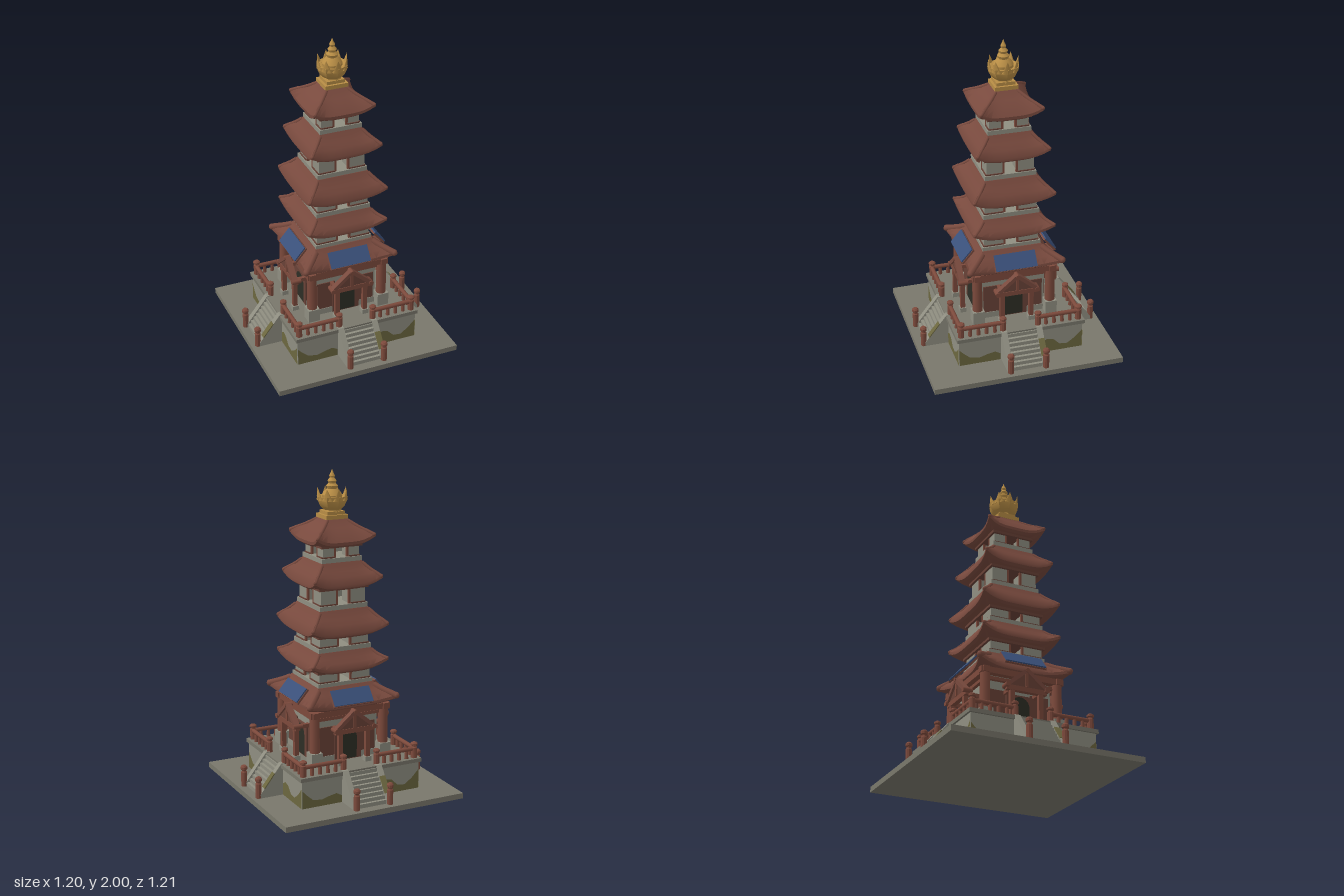
import * as THREE from 'three';
import { toCreasedNormals } from 'three/addons/utils/BufferGeometryUtils.js';

const mat = (name, color, side = THREE.FrontSide) => {
  const m = new THREE.MeshStandardMaterial({ color, side });
  m.name = name;
  return m;
};
const M = {
  roof: mat('roof red', 0x794a3e),
  wood: mat('wood red', 0x7d4a3c),
  darkWood: mat('dark wood', 0x694237),
  stone: mat('pale stone', 0x8f8e81),
  paving: mat('paving', 0x79776b),
  moss: mat('moss', 0x6c673f, THREE.DoubleSide),
  dark: mat('doorway dark', 0x2d2e25),
  gold: mat('gold', 0xb88d45),
  blue: mat('blue panel', 0x3a507a),
};

function add(parent, name, geo, material, x = 0, y = 0, z = 0) {
  const m = new THREE.Mesh(geo, material);
  m.name = name;
  m.position.set(x, y, z);
  parent.add(m);
  return m;
}
// box given by width, bottom, top, depth
const box = (p, name, m, w, y0, y1, d, x = 0, z = 0) =>
  add(p, name, new THREE.BoxGeometry(w, y1 - y0, d), m, x, (y0 + y1) / 2, z);
const lathe = (pts, sides) =>
  toCreasedNormals(new THREE.LatheGeometry(pts.map(a => new THREE.Vector2(...a)), sides), 0.6);
// round post with a rounded cap ring
function post(p, name, x, z, y0, y1, r) {
  const h = y1 - y0;
  return add(p, name, lathe([[0, 0], [r, 0], [r, h * 0.68], [r * 0.75, h * 0.72], [r * 0.75, h * 0.77],
    [r * 1.12, h * 0.82], [r * 1.12, h * 0.93], [r * 0.7, h], [0, h]], 10), M.wood, x, y0, z);
}
// repeat one side's group around the four faces
function fourSides(parent, name, build) {
  const side = new THREE.Group();
  build(side);
  for (let k = 0; k < 4; k++) {
    const g = side.clone();
    g.name = name + (k + 1);
    g.rotation.y = k * Math.PI / 2;
    parent.add(g);
  }
}

// square roof from rings [half width, height, corner lift, corner flare]
function roofGeometry(rings) {
  const N = 12, pos = [], idx = [];
  for (let k = 0; k < 4; k++) {
    const base = pos.length / 3, c = Math.round(Math.cos(k * Math.PI / 2)), s = Math.round(Math.sin(k * Math.PI / 2));
    rings.forEach(([h, y, lift, flare]) => {
      for (let i = 0; i <= N; i++) {
        const t = i / N * 2 - 1, q = Math.abs(t) ** 4, r = h + flare * q;
        const x = r * t, z = r;
        pos.push(x * c + z * s, y + lift * q, -x * s + z * c);
      }
    });
    for (let j = 0; j < rings.length - 1; j++) for (let i = 0; i < N; i++) {
      const a = base + j * (N + 1) + i, d = a + N + 1;
      idx.push(a, a + 1, d + 1, a, d + 1, d);
    }
  }
  const g = new THREE.BufferGeometry();
  g.setAttribute('position', new THREE.Float32BufferAttribute(pos, 3));
  g.setIndex(idx);
  return toCreasedNormals(g, 0.6);
}
function roof(p, name, y0, y1, eave, top, lift, flare, hipRadius) {
  const h = y1 - y0, at = (u, v) => [top + (eave - top) * u, y0 + h * v];
  add(p, name, roofGeometry([
    [0, y0 + 0.012, 0, 0], [eave * 0.78, y0 + 0.008, 0, 0],
    [eave - 0.016, y0, lift, flare], [eave, y0 + 0.012, lift, flare], [eave, y0 + 0.03, lift, flare],
    [...at(0.72, 0.48), lift * 0.5, flare * 0.6], [...at(0.4, 0.68), lift * 0.15, flare * 0.2],
    [...at(0.15, 0.87), 0, 0], [top, y1, 0, 0], [0, y1, 0, 0],
  ]), M.roof);
  // hip ridges along the diagonals
  fourSides(p, name + 'Hip', g => {
    const e = eave + flare - hipRadius * 0.6, m = top + (eave - top) * 0.4 + flare * 0.2, y = y0 + 0.022 + lift;
    const path = new THREE.CatmullRomCurve3([new THREE.Vector3(top, y1 - hipRadius, top),
      new THREE.Vector3(m, y0 + h * 0.67 + lift * 0.15 - hipRadius * 0.3, m), new THREE.Vector3(e, y, e)]);
    add(g, 'hipRidge', new THREE.TubeGeometry(path, 8, hipRadius, 8), M.roof);
    add(g, 'hipTip', new THREE.SphereGeometry(hipRadius, 8, 6), M.roof, e, y, e);
  });
}

function terrace(root) {
  box(root, 'basePlate', M.paving, 1.2, 0, 0.035, 1.21);
  box(root, 'terraceBody', M.stone, 0.8, 0.035, 0.21, 0.8);
  box(root, 'terraceLip', M.paving, 0.825, 0.208, 0.232, 0.825);
  const cheek = new THREE.Shape([[0.38, 0.035], [0.56, 0.035], [0.55, 0.06], [0.412, 0.237], [0.38, 0.237]].map(a => new THREE.Vector2(...a)));
  const cheekGeo = new THREE.ExtrudeGeometry(cheek, { depth: 0.036, bevelEnabled: false }).rotateY(-Math.PI / 2);
  fourSides(root, 'terraceSide', g => {
    // moss patches on the wall
    const patch = pts => add(g, 'mossPatch', new THREE.ShapeGeometry(
      new THREE.Shape(pts.map(a => new THREE.Vector2(...a)))), M.moss, 0, 0, 0.403);
    patch([[-0.398, 0.036], [-0.398, 0.15], [-0.37, 0.12], [-0.33, 0.085], [-0.27, 0.075], [-0.22, 0.09], [-0.17, 0.1], [-0.135, 0.08], [-0.135, 0.036]]);
    patch([[0.135, 0.036], [0.135, 0.11], [0.17, 0.13], [0.21, 0.12], [0.25, 0.08], [0.3, 0.075], [0.35, 0.11], [0.398, 0.16], [0.398, 0.036]]);
    // stairs
    for (let i = 0; i < 8; i++) {
      const d = 0.165 - i * 0.018;
      box(g, 'step', M.stone, 0.2, 0.035, 0.06 + i * 0.023, d, 0, 0.38 + d / 2);
    }
    for (const s of [-1, 1]) {
      add(g, 'stairCheek', cheekGeo, M.stone, s * 0.113 + 0.018, 0, 0);
      post(g, 'stairFootPost', s * 0.113, 0.557, 0.035, 0.17, 0.019);
      post(g, 'stairTopPost', s * 0.113, 0.38, 0.232, 0.33, 0.019);
      // railing
      add(g, 'rail', new THREE.CylinderGeometry(0.014, 0.014, 0.262, 8).rotateZ(Math.PI / 2), M.wood, s * 0.244, 0.29, 0.38);
      for (let i = 1; i < 5; i++)
        add(g, 'baluster', new THREE.CylinderGeometry(0.011, 0.013, 0.055, 8), M.wood, s * (0.113 + i * 0.0525), 0.258, 0.38);
    }
    const cheekMoss = add(g, 'cheekMoss', new THREE.BoxGeometry(0.037, 0.006, 0.11), M.moss, 0.113, 0.137, 0.49);
    cheekMoss.rotation.x = 0.91;
    post(g, 'cornerPost', 0.377, 0.38, 0.232, 0.332, 0.02);
  });
}

function groundStorey(root) {
  box(root, 'groundWall', M.stone, 0.41, 0.23, 0.58, 0.41);
  // thin gable front of the porch
  const gable = new THREE.Shape([[-0.11, 0.46], [0.11, 0.46], [0, 0.55]].map(a => new THREE.Vector2(...a)));
  const door = new THREE.Shape();
  door.moveTo(-0.06, 0.237).lineTo(0.06, 0.237).lineTo(0.06, 0.38);
  door.absarc(0, 0.37, 0.06, 0, Math.PI, false);
  fourSides(root, 'groundSide', g => {
    box(g, 'wallBase', M.stone, 0.43, 0.232, 0.27, 0.01, 0, 0.21);
    box(g, 'topBeam', M.wood, 0.54, 0.535, 0.572, 0.04, 0, 0.24);
    box(g, 'lowerBeam', M.wood, 0.46, 0.505, 0.525, 0.022, 0, 0.225);
    for (const s of [-1, 1]) box(g, 'wallPanel', M.darkWood, 0.12, 0.27, 0.455, 0.009, s * 0.13, 0.207);
    add(g, 'column', new THREE.CylinderGeometry(0.03, 0.032, 0.25, 10), M.wood, 0.235, 0.43, 0.235);
    box(g, 'columnFoot', M.stone, 0.074, 0.23, 0.315, 0.074, 0.235, 0.235);
    // doorway
    add(g, 'doorway', new THREE.ShapeGeometry(door, 10), M.dark, 0, 0, 0.222);
    box(g, 'doorSurround', M.darkWood, 0.18, 0.232, 0.44, 0.016, 0, 0.212);
    // porch frame
    for (const s of [-1, 1]) {
      box(g, 'porchPost', M.wood, 0.028, 0.232, 0.43, 0.028, s * 0.093, 0.295);
      box(g, 'porchPostFoot', M.stone, 0.042, 0.232, 0.262, 0.042, s * 0.093, 0.295);
      const slab = add(g, 'porchRoof', new THREE.BoxGeometry(0.172, 0.024, 0.036), M.roof, s * 0.066, 0.51, 0.304);
      slab.rotation.z = -s * 0.7;
      box(g, 'porchSideBeam', M.wood, 0.022, 0.432, 0.456, 0.09, s * 0.093, 0.25);
      add(g, 'eaveEnd', new THREE.CylinderGeometry(0.016, 0.016, 0.06, 8).rotateX(Math.PI / 2), M.wood, s * 0.127, 0.457, 0.298);
    }
    box(g, 'porchBeam', M.wood, 0.26, 0.43, 0.46, 0.03, 0, 0.297);
    add(g, 'gable', new THREE.ExtrudeGeometry(gable, { depth: 0.018, bevelEnabled: false }), M.darkWood, 0, 0, 0.29);
    box(g, 'gableStrut', M.wood, 0.016, 0.46, 0.55, 0.01, 0, 0.311);
    add(g, 'ridgeCap', new THREE.CylinderGeometry(0.014, 0.014, 0.05, 8).rotateX(Math.PI / 2), M.wood, 0, 0.564, 0.302);
    // blue slope panel
    const panel = add(g, 'bluePanel', new THREE.BoxGeometry(0.262, 0.104, 0.009), M.blue, 0, 0.651, 0.271);
    panel.rotation.x = -0.71;
    const backing = add(g, 'panelFrame', new THREE.BoxGeometry(0.272, 0.11, 0.012), M.roof, 0, 0.644, 0.264);
    backing.rotation.x = -0.71;
  });
  roof(root, 'groundRoof', 0.565, 0.7, 0.267, 0.19, 0.035, 0.04, 0.021);
}

// open storey: stone ledge, four corner piers and door posts
function storey(root, name, y0, y1, w) {
  const ledge = y0 + 0.028, gap = 0.046, size = w - gap, c = gap + size / 2;
  box(root, name + 'Ledge', M.stone, 2 * w + 0.026, y0 - 0.005, ledge, 2 * w + 0.026);
  box(root, name + 'Ceiling', M.darkWood, 2 * w + 0.03, y1 - 0.008, y1 + 0.015, 2 * w + 0.03);
  fourSides(root, name + 'Side', g => {
    box(g, 'cornerPier', M.stone, size, ledge, y1, size, c, c);
    for (const s of [-1, 1]) {
      box(g, 'doorPost', M.wood, 0.013, ledge, y1, 0.014, s * (gap - 0.004), w - 0.006);
      box(g, 'pierFoot', M.darkWood, size, ledge, ledge + 0.008, 0.008, s * c, w + 0.002);
    }
  });
}

function finial(root) {
  const g = new THREE.Group();
  g.name = 'finial';
  box(g, 'finialBase', M.gold, 0.145, 1.705, 1.73, 0.145);
  box(g, 'finialStep', M.gold, 0.115, 1.73, 1.75, 0.115);
  add(g, 'lotusBowl', lathe([[0, 1.745], [0.06, 1.745], [0.055, 1.757], [0.078, 1.778], [0.093, 1.81],
    [0.098, 1.838], [0.082, 1.838], [0.05, 1.825], [0, 1.825]], 8), M.gold);
  add(g, 'spire', lathe([[0.06, 1.82], [0.062, 1.845], [0.048, 1.868], [0.03, 1.882], [0.037, 1.9], [0.022, 1.915],
    [0.028, 1.93], [0.014, 1.948], [0.018, 1.96], [0.008, 1.98], [0, 2]], 12), M.gold);
  for (let i = 0; i < 8; i++) {
    const petal = new THREE.Group();
    petal.name = 'petal' + (i + 1);
    petal.rotation.y = i * Math.PI / 4;
    const leaf = add(petal, 'petalLeaf', new THREE.ConeGeometry(0.034, 0.075, 8).scale(1, 1, 0.3), M.gold, 0, 1.852, 0.088);
    leaf.rotation.x = 0.15;
    g.add(petal);
  }
  root.add(g);
}

export function createModel() {
  const root = new THREE.Group();
  root.name = 'pagoda';
  terrace(root);
  groundStorey(root);
  // [storey bottom, roof bottom, roof top, storey half width, eave, roof top half width]
  [[0.695, 0.79, 0.915, 0.172, 0.245, 0.18], [0.915, 1.01, 1.17, 0.165, 0.245, 0.165],
    [1.17, 1.3, 1.455, 0.149, 0.217, 0.135], [1.455, 1.553, 1.71, 0.122, 0.184, 0.065]]
    .forEach(([a, b, c, w, e, t], i) => {
      storey(root, 'storey' + (i + 2), a, b, w);
      roof(root, 'roof' + (i + 2), b, c, e, t, 0.043, 0.012, 0.012);
    });
  finial(root);
  return root;
}
